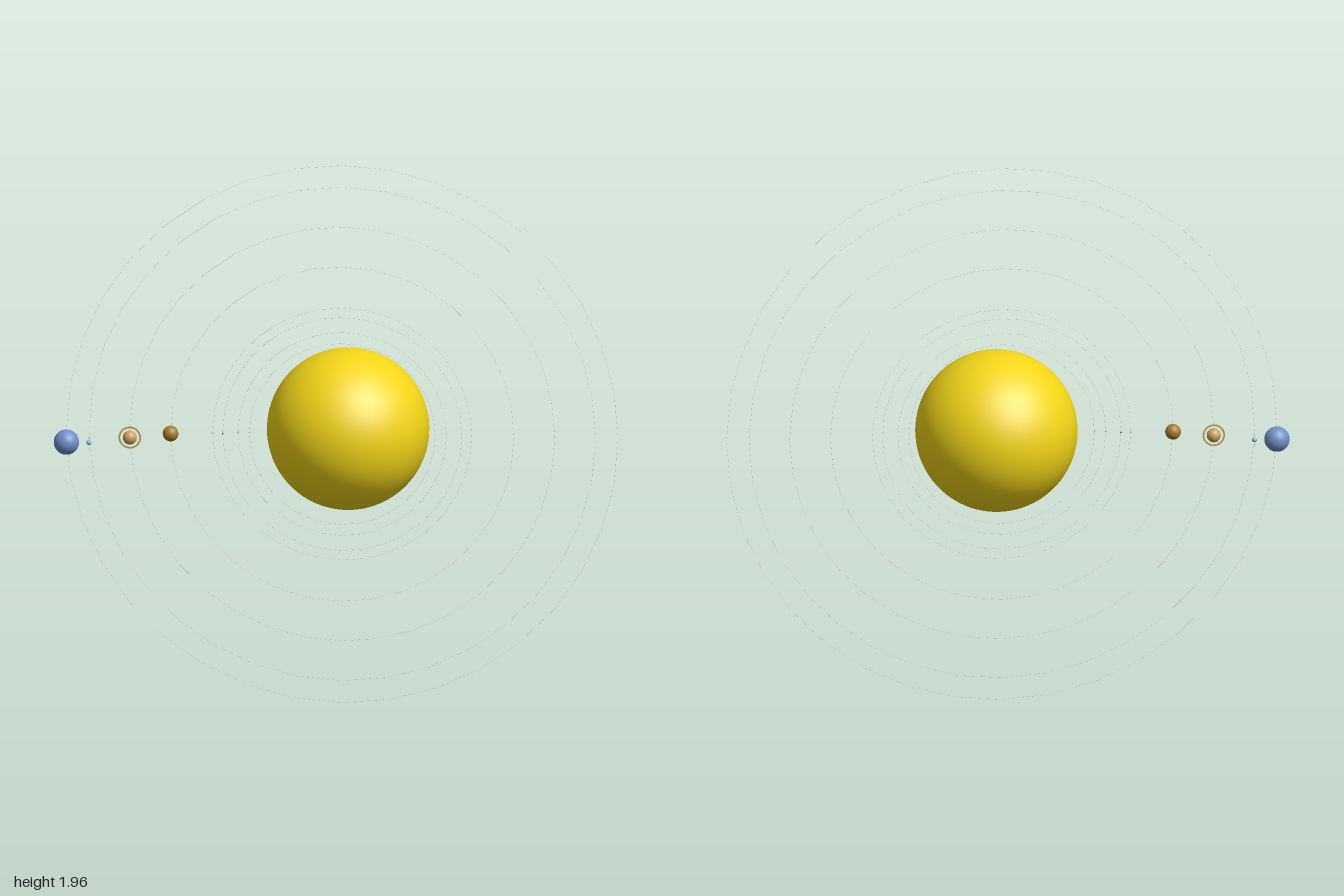
import * as THREE from 'three';

const CENTER = [0.02, 0.98]; // common centre of the orbits
const Z = -0.0 + 0.012; // plane of the planets

function material(color, thin = false) {
  return new THREE.MeshStandardMaterial({ color, side: thin ? THREE.DoubleSide : THREE.FrontSide });
}

function add(parent, name, geometry, mat, x, y, z) {
  const mesh = new THREE.Mesh(geometry, mat);
  mesh.name = name;
  mesh.position.set(x, y, z);
  parent.add(mesh);
  return mesh;
}

// orbit: orbit radius, size: planet radius, y: height of the planet's centre
const PLANETS = [
  { name: 'firstPlanet', orbit: 0.33, size: 0.0015, y: 0.98, color: 0x8a8078 },
  { name: 'secondPlanet', orbit: 0.37, size: 0.003, y: 0.98, color: 0xc8a060 },
  { name: 'thirdPlanet', orbit: 0.425, size: 0.003, y: 0.975, color: 0x4a6a9a },
  { name: 'fourthPlanet', orbit: 0.46, size: 0.002, y: 0.975, color: 0xa05030 },
  { name: 'bandedGiant', orbit: 0.61, size: 0.028, y: 0.972, color: 0xa87c30 },
  { name: 'ringedGiant', orbit: 0.755, size: 0.025, y: 0.955, color: 0xd0a060,
    ring: { inner: 0.034, outer: 0.04, color: 0xc0a050 } },
  { name: 'tiltedPlanet', orbit: 0.9, size: 0.009, y: 0.935, color: 0x90c0d0,
    ring: { inner: 0.02, outer: 0.024, color: 0x90c0d0, sideways: true } },
  { name: 'blueGiant', orbit: 0.98, size: 0.045, y: 0.935, color: 0x7090c8 },
];

export function createModel() {
  const model = new THREE.Group();
  model.name = 'planetarySystem';

  // Sun, slightly deeper than it is wide
  const sun = add(model, 'sun', new THREE.SphereGeometry(1, 64, 40), material(0xf2d518), 0.04, 0.997, 0);
  sun.scale.set(0.288, 0.288, 0.296);

  for (const p of PLANETS) {
    // Hair-thin upright orbit
    add(model, p.name + 'Orbit', new THREE.TorusGeometry(p.orbit, 0.0003, 4, 36),
      material(0xcccccc), CENTER[0], CENTER[1], Z);

    // Planet with its optional flat ring
    const group = new THREE.Group();
    group.name = p.name;
    group.position.set(CENTER[0] - p.orbit, p.y, Z);
    model.add(group);
    add(group, p.name + 'Globe', new THREE.SphereGeometry(p.size, 32, 20), material(p.color), 0, 0, 0);
    if (p.ring) {
      const ring = add(group, p.name + 'Ring', new THREE.RingGeometry(p.ring.inner, p.ring.outer, 48),
        material(p.ring.color, true), 0, 0, 0);
      if (p.ring.sideways) ring.rotation.y = Math.PI / 2;
    }
  }
  return model;
}
